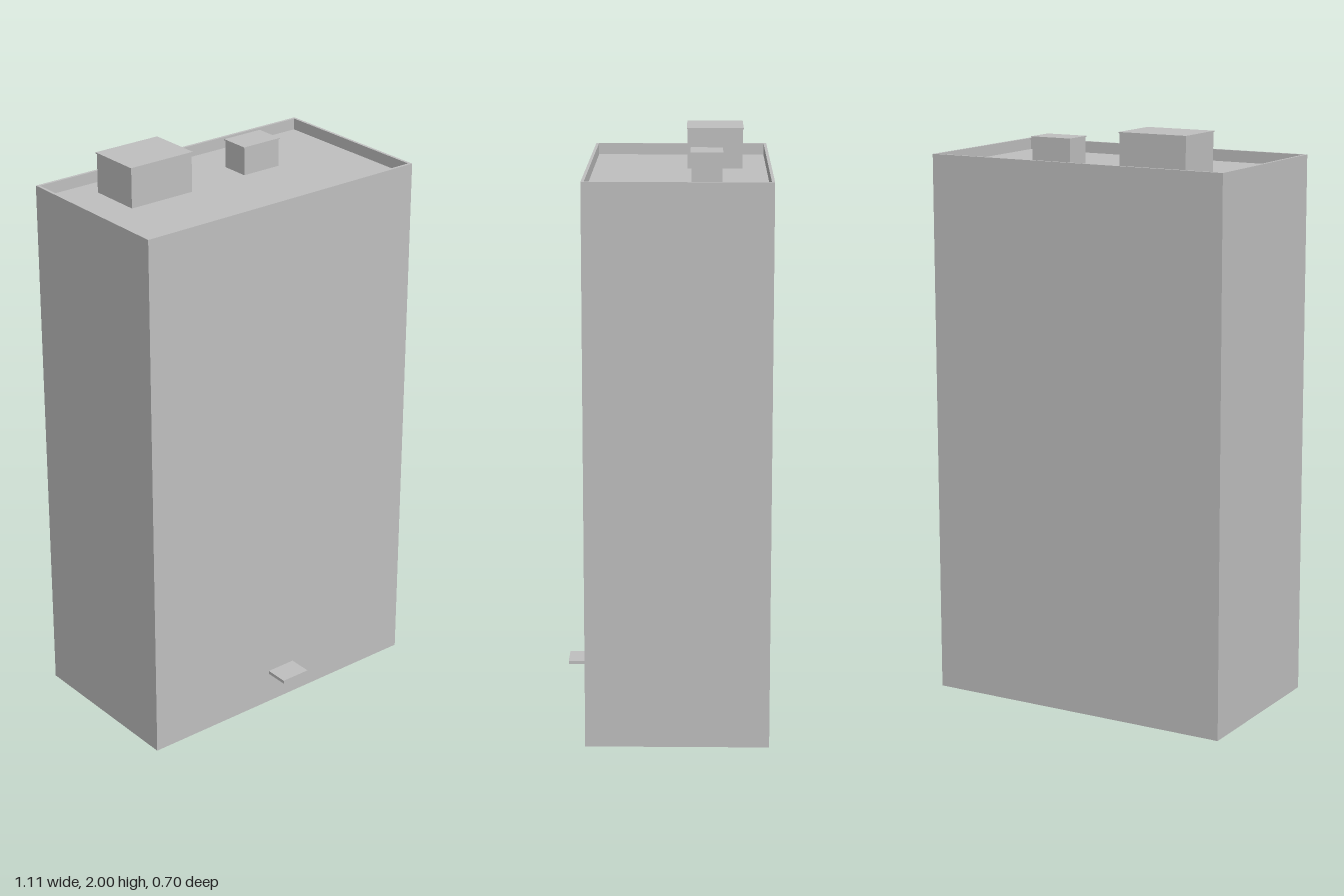
import * as THREE from 'three';

const WIDTH = 1.11, DEPTH = 0.617, HEIGHT = 1.9;
const BODY_Z = -0.0415, WALL = 0.01, ROOF_Y = 1.86;

export function createModel() {
  const model = new THREE.Group();
  model.name = 'building';
  const concrete = new THREE.MeshStandardMaterial({ color: 0xbfbfbf, side: THREE.DoubleSide });
  concrete.name = 'light grey concrete';

  const add = (name, geometry, x, y, z, parent = model) => {
    const mesh = new THREE.Mesh(geometry, concrete);
    mesh.name = name;
    mesh.position.set(x, y, z);
    parent.add(mesh);
    return mesh;
  };

  // Four upright walls with no top or bottom
  const openBox = (w, h, d) => {
    const g = new THREE.BoxGeometry(w, h, d);
    const index = Array.from(g.index.array);
    g.setIndex([...index.slice(0, 12), ...index.slice(24)]);
    g.clearGroups();
    return g;
  };

  // Outer shell, open underneath
  add('outerWalls', openBox(WIDTH, HEIGHT, DEPTH), 0, HEIGHT / 2, BODY_Z);

  // Roof sunk behind a thin parapet
  const innerW = WIDTH - 2 * WALL, innerD = DEPTH - 2 * WALL;
  add('roof', new THREE.PlaneGeometry(innerW, innerD).rotateX(-Math.PI / 2), 0, ROOF_Y, BODY_Z);
  add('parapetInside', openBox(innerW, HEIGHT - ROOF_Y, innerD), 0, (HEIGHT + ROOF_Y) / 2, BODY_Z);

  // Flat rim on top of the parapet
  const rectangle = (path, w, d) => path.moveTo(-w / 2, -d / 2).lineTo(w / 2, -d / 2)
    .lineTo(w / 2, d / 2).lineTo(-w / 2, d / 2).closePath();
  const rim = rectangle(new THREE.Shape(), WIDTH, DEPTH);
  rim.holes.push(rectangle(new THREE.Path(), innerW, innerD));
  add('parapetRim', new THREE.ShapeGeometry(rim).rotateX(-Math.PI / 2), 0, HEIGHT, BODY_Z);

  // Rooftop boxes, each with a thin overhanging cap
  const roofBox = (name, x, z, w, d, top) => {
    const group = new THREE.Group();
    group.name = name;
    group.position.set(x, ROOF_Y, z);
    const h = top - ROOF_Y, cap = 0.004;
    add('boxWalls', new THREE.BoxGeometry(w, h - cap, d), 0, (h - cap) / 2, 0, group);
    add('boxCap', new THREE.BoxGeometry(w + 0.006, cap, d + 0.006), 0, h - cap / 2, 0, group);
    model.add(group);
  };
  roofBox('stairHouse', -0.248, -0.163, 0.247, 0.19, 2);
  roofBox('ventBox', 0.185, -0.134, 0.149, 0.102, 1.96);

  // Entrance canopy
  const front = BODY_Z + DEPTH / 2;
  add('canopy', new THREE.BoxGeometry(0.11, 0.012, 0.083), 0, 0.121, front + 0.0415);

  return model;
}
